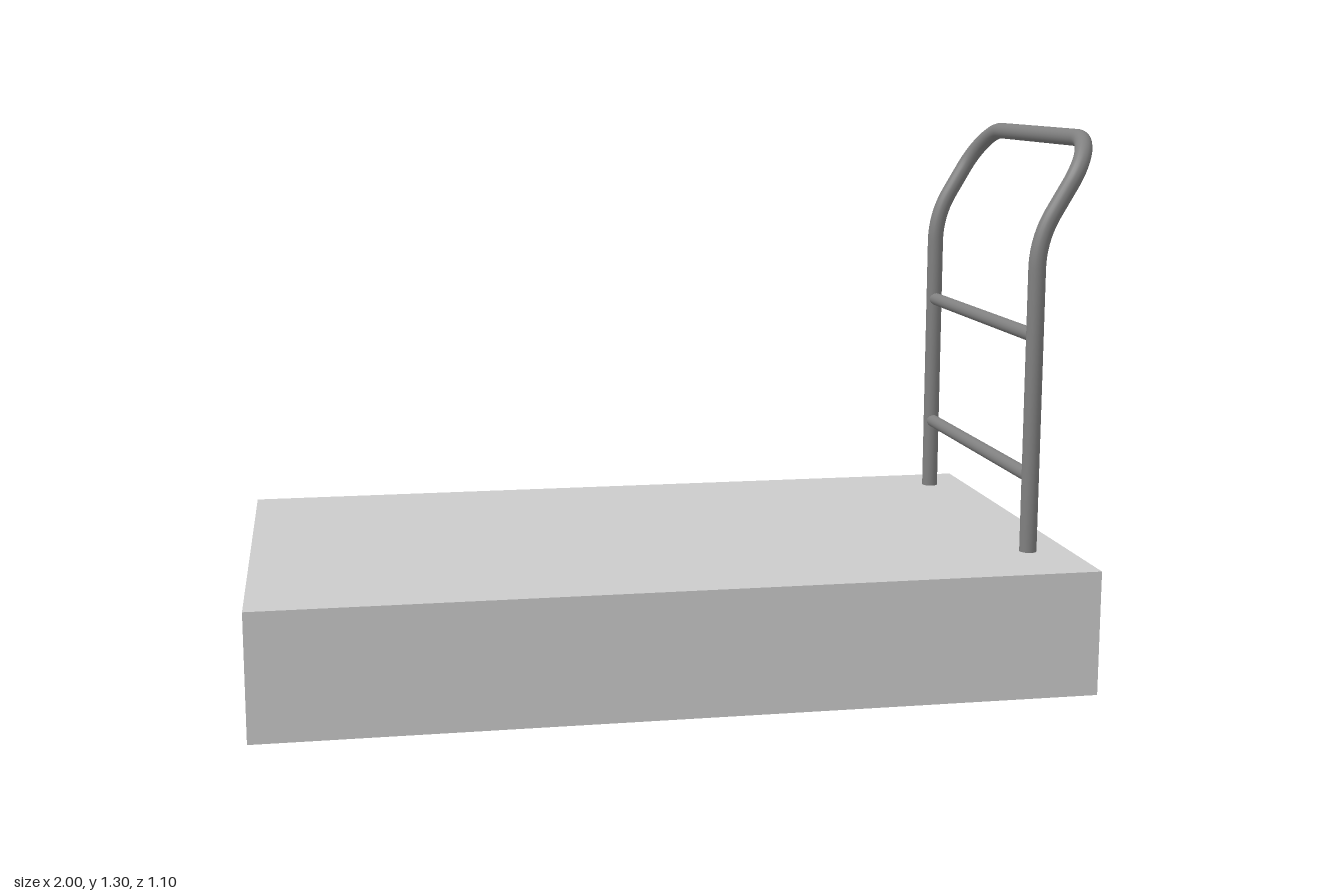
import * as THREE from 'three';

const grey = new THREE.MeshStandardMaterial({ color: 0xcccccc });
const darkGrey = new THREE.MeshStandardMaterial({ color: 0x808080 });

const DECK_TOP = 0.297;
const LEG_X = 0.843;
const LEG_Z = [0.338, -0.424];

// Path through corner points, each inner corner rounded with its bend radius
function roundedPath(points, radii) {
  const path = new THREE.CurvePath();
  let from = points[0];
  for (let i = 1; i < points.length - 1; i++) {
    const corner = points[i];
    const dirIn = corner.clone().sub(points[i - 1]).normalize();
    const dirOut = points[i + 1].clone().sub(corner).normalize();
    const turn = dirIn.angleTo(dirOut);
    const reach = radii[i - 1] * Math.tan(turn / 2);
    const pull = radii[i - 1] * (4 / 3) * Math.tan(turn / 4);
    const start = corner.clone().addScaledVector(dirIn, -reach);
    const end = corner.clone().addScaledVector(dirOut, reach);
    path.add(new THREE.LineCurve3(from, start));
    path.add(new THREE.CubicBezierCurve3(
      start,
      start.clone().addScaledVector(dirIn, pull),
      end.clone().addScaledVector(dirOut, -pull),
      end
    ));
    from = end;
  }
  path.add(new THREE.LineCurve3(from, points[points.length - 1]));
  return path;
}

export function createModel() {
  const model = new THREE.Group();
  model.name = 'platformWithHandle';

  const add = (name, geometry, material) => {
    const mesh = new THREE.Mesh(geometry, material);
    mesh.name = name;
    model.add(mesh);
    return mesh;
  };

  // Solid platform
  add('platform', new THREE.BoxGeometry(1.943, DECK_TOP, 1.1), grey)
    .position.set(-0.0285, DECK_TOP / 2, 0);

  // Bent push handle: up one leg, leaning outward, across and down the other
  const side = (z) => [
    new THREE.Vector3(LEG_X, DECK_TOP - 0.005, z),
    new THREE.Vector3(LEG_X, 1.048, z),
    new THREE.Vector3(0.979, 1.279, z),
  ];
  const path = roundedPath([...side(LEG_Z[0]), ...side(LEG_Z[1]).reverse()], [0.26, 0.12, 0.12, 0.26]);
  add('handleFrame', new THREE.TubeGeometry(path, 220, 0.0205, 20), darkGrey);

  // Crossbars between the legs
  for (const [name, y] of [['lowerCrossbar', 0.48], ['upperCrossbar', 0.819]]) {
    const bar = add(name, new THREE.CylinderGeometry(0.0165, 0.0165, LEG_Z[0] - LEG_Z[1], 20), darkGrey);
    bar.rotation.x = Math.PI / 2;
    bar.position.set(LEG_X, y, (LEG_Z[0] + LEG_Z[1]) / 2);
  }

  return model;
}
